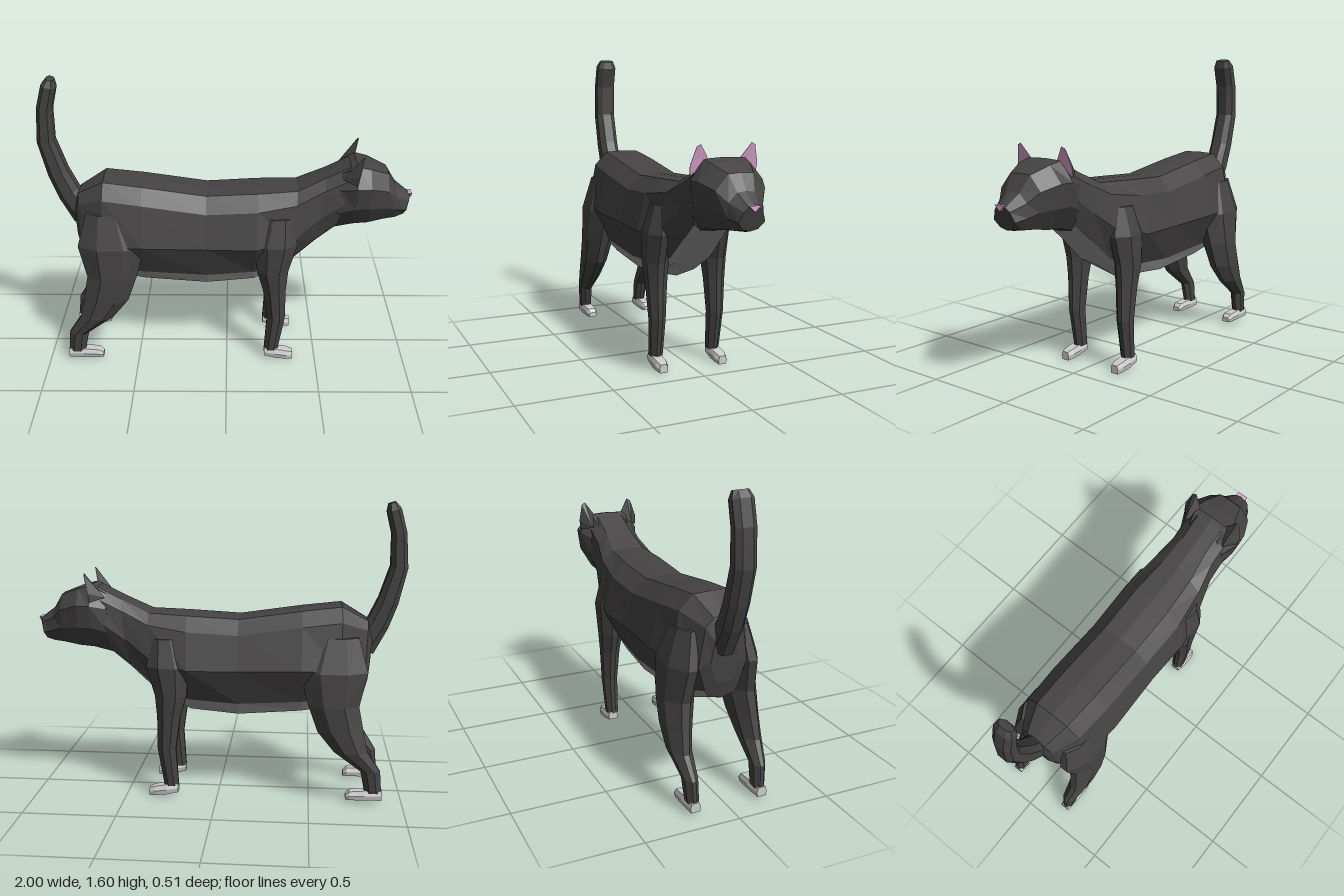
import * as THREE from 'three';

const mat = (color) => new THREE.MeshStandardMaterial({ color, flatShading: true, side: THREE.DoubleSide });
const lerp = THREE.MathUtils.lerp;

// Skin a list of rings; optional closed rings and fan caps at either end
function loft(rings, { closed = true, start = false, end = false } = {}) {
  const n = rings[0].length, pos = rings.flat(2), idx = [];
  for (let i = 0; i < rings.length - 1; i++)
    for (let j = 0; j < (closed ? n : n - 1); j++) {
      const k = (j + 1) % n, a = i * n + j, d = i * n + k, b = a + n, c = d + n;
      idx.push(a, d, c, a, c, b);
    }
  const cap = (ring, flip) => {
    const first = pos.length / 3;
    const mid = [0, 1, 2].map((q) => ring.reduce((s, p) => s + p[q], 0) / n);
    pos.push(...ring.flat(), ...mid);
    for (let j = 0; j < n; j++) {
      const a = first + j, b = first + (j + 1) % n;
      idx.push(first + n, flip ? b : a, flip ? a : b);
    }
  };
  if (start) cap(rings[0], true);
  if (end) cap(rings[rings.length - 1], false);
  const g = new THREE.BufferGeometry();
  g.setAttribute('position', new THREE.Float32BufferAttribute(pos, 3));
  g.setIndex(idx);
  const flat = g.toNonIndexed();
  flat.computeVertexNormals();
  return flat;
}

// Half outline (top to bottom on +z) completed by its mirror image
const mirrorRing = (half) => [...half, ...half.slice(1, -1).reverse().map(([x, y, z]) => [x, y, -z])];

export function createModel() {
  const cat = new THREE.Group();
  cat.name = 'cat';
  const fur = mat(0x454343), pale = mat(0x9c9c9c), paw = mat(0xbcbcbc), pink = mat(0xe0a8d4);
  const add = (name, geometry, material) => {
    const m = new THREE.Mesh(geometry, material);
    m.name = name;
    cat.add(m);
    return m;
  };

  // Torso and neck: xTop, xBottom, yTop, yBottom, then width/height of back edge, flank, belly edge
  const stations = [
    [-0.80, -0.78, 0.98, 0.55, 0.10, 0.93, 0.13, 0.73, 0.09, 0.60],
    [-0.66, -0.66, 1.06, 0.50, 0.17, 0.98, 0.22, 0.73, 0.14, 0.57],
    [-0.45, -0.45, 1.035, 0.46, 0.18, 0.955, 0.235, 0.73, 0.15, 0.545],
    [-0.11, -0.11, 0.985, 0.43, 0.18, 0.905, 0.225, 0.72, 0.15, 0.525],
    [0.17, 0.15, 1.00, 0.455, 0.185, 0.92, 0.235, 0.72, 0.14, 0.54],
    [0.38, 0.33, 1.01, 0.56, 0.16, 0.95, 0.19, 0.76, 0.12, 0.60],
    [0.53, 0.48, 1.08, 0.70, 0.13, 1.02, 0.15, 0.87, 0.11, 0.73],
    [0.66, 0.59, 1.145, 0.79, 0.13, 1.08, 0.15, 0.95, 0.11, 0.82],
  ];
  const torso = stations.map(([xt, xb, yt, yb, we, ye, wm, ym, wl, yl]) => mirrorRing(
    [[yt, 0], [yt - 0.005, we * 0.58], [ye, we], [ym, wm], [yl, wl], [lerp(yb, yl, 0.3), wl * 0.75], [yb, 0]]
      .map(([y, z]) => [lerp(xb, xt, (y - yb) / (yt - yb)), y, z])));
  add('body', loft(torso.map((r) => [...r.slice(8), ...r.slice(0, 5)]), { closed: false }), fur);
  add('belly', loft(torso.map((r) => r.slice(4, 9)), { closed: false }), pale);
  // Rounded rump closing the back
  const rump = torso[0].map(([x, y, z]) => [x - 0.025, lerp(0.77, y, 0.6), z * 0.6]);
  add('rump', loft([rump, torso[0]], { start: true }), fur);

  // Head: xTop, xBottom, yTop, crown half width, cheek y/width, jaw y/width, chin y/width
  const head = [
    [0.61, 0.58, 1.11, 0.09, 1.03, 0.14, 0.90, 0.14, 0.775, 0.07],
    [0.69, 0.68, 1.155, 0.11, 1.05, 0.178, 0.93, 0.16, 0.805, 0.09],
    [0.76, 0.76, 1.14, 0.10, 1.05, 0.172, 0.93, 0.155, 0.812, 0.09],
    [0.86, 0.85, 1.10, 0.065, 1.02, 0.13, 0.92, 0.12, 0.825, 0.07],
    [0.91, 0.91, 1.02, 0.045, 0.97, 0.09, 0.90, 0.095, 0.83, 0.06],
    [0.99, 0.955, 0.96, 0.025, 0.935, 0.05, 0.885, 0.07, 0.84, 0.04],
  ].map(([xt, xb, yt, wt, ys, ws, yj, wj, yb, wb]) => mirrorRing(
    [[yt, 0], [yt - 0.005, wt], [ys, ws], [yj, wj], [yb + 0.01, wb], [yb, 0]]
      .map(([y, z]) => [lerp(xb, xt, (y - yb) / (yt - yb)), y, z])));
  add('head', loft(head, { start: true, end: true }), fur);

  // Nose
  const tri = new THREE.Shape([[-0.03, 0.965], [0, 0.935], [0.03, 0.965]].map((p) => new THREE.Vector2(...p)));
  const nose = new THREE.ExtrudeGeometry(tri, { depth: 0.03, bevelEnabled: false });
  nose.rotateY(Math.PI / 2).translate(0.97, 0, 0);
  add('nose', nose, pink);

  // Tail: centre line with half thickness, eight-sided
  const tailPath = [
    [-0.77, 0.83, 0.075], [-0.855, 0.96, 0.06], [-0.905, 1.08, 0.054], [-0.955, 1.26, 0.046],
    [-0.948, 1.44, 0.04], [-0.917, 1.56, 0.038], [-0.906, 1.597, 0.02],
  ];
  const tail = tailPath.map(([x, y, r], i) => {
    const p = tailPath[Math.max(i - 1, 0)], q = tailPath[Math.min(i + 1, tailPath.length - 1)];
    const len = Math.hypot(q[0] - p[0], q[1] - p[1]);
    const nx = (q[1] - p[1]) / len, ny = -(q[0] - p[0]) / len;
    const w = i === tailPath.length - 1 ? 0.04 : 0.056;
    return [[1, 0.5], [1, -0.5], [0.5, -1], [-0.5, -1], [-1, -0.5], [-1, 0.5], [-0.5, 1], [0.5, 1]]
      .map(([u, v]) => [x + nx * r * u, y + ny * r * u, w * v]);
  });
  add('tail', loft(tail, { start: true, end: true }), fur);

  // Leg sections: y, xBack, xFront, zInner, zOuter
  const foreLeg = [
    [0.06, 0.212, 0.29, 0.135, 0.20], [0.27, 0.225, 0.325, 0.13, 0.21], [0.45, 0.20, 0.325, 0.12, 0.22],
    [0.57, 0.165, 0.335, 0.11, 0.23], [0.73, 0.15, 0.38, 0.10, 0.235], [0.88, 0.20, 0.36, 0.10, 0.195],
  ];
  const hindLeg = [
    [0.06, -0.89, -0.80, 0.155, 0.215], [0.18, -0.88, -0.775, 0.155, 0.225], [0.29, -0.81, -0.63, 0.145, 0.25],
    [0.40, -0.785, -0.54, 0.125, 0.255], [0.54, -0.758, -0.49, 0.10, 0.255],
    [0.72, -0.80, -0.44, 0.08, 0.245], [0.90, -0.75, -0.52, 0.08, 0.19],
  ];
  // Paw sections: x, yBottom, yTop, half width
  const forePaw = [[0.213, 0.025, 0.07, 0.028], [0.28, 0.012, 0.066, 0.036], [0.34, 0.006, 0.055, 0.036], [0.372, 0.0, 0.045, 0.024]];
  const hindPaw = [[-0.893, 0.02, 0.07, 0.028], [-0.80, 0.02, 0.072, 0.034], [-0.72, 0.02, 0.065, 0.034], [-0.698, 0.02, 0.045, 0.024]];

  for (const s of [1, -1]) {
    const side = s > 0 ? 'Near' : 'Far';
    const oriented = (ring) => (s > 0 ? ring : ring.map(([x, y, z]) => [x, y, -z]).reverse());

    const leg = (name, sections) => add(name + side, loft(sections.map(([y, x0, x1, z0, z1]) => {
      const X = (t) => lerp(x0, x1, t), Z = (t) => lerp(z0, z1, t);
      return oriented([[1, 0.65], [1, 0.35], [0.75, 0], [0.25, 0], [0, 0.35], [0, 0.65], [0.3, 1], [0.7, 1]]
        .map(([u, v]) => [X(u), y, Z(v)]));
    }), { start: true, end: true }), fur);
    leg('foreLeg', foreLeg);
    leg('hindLeg', hindLeg);

    const foot = (name, sections, zc) => add(name + side, loft(sections.map(([x, y0, y1, w]) =>
      oriented([[y1, -0.7], [y1, 0.7], [lerp(y0, y1, 0.5), 1], [y0, 0.85], [y0, -0.85], [lerp(y0, y1, 0.5), -1]]
        .map(([y, v]) => [x, y, zc + w * v]))), { start: true, end: true }), paw);
    foot('forePaw', forePaw, 0.172);
    foot('hindPaw', hindPaw, 0.185);

    // Ear: pink front panel with a furry shell tapering to the nape
    const rim = oriented([[0.69, 1.14, 0.08], [0.715, 1.222, 0.135], [0.712, 1.212, 0.155],
      [0.69, 1.12, 0.18], [0.68, 1.07, 0.176]]);
    const nape = oriented(Array(5).fill([0.61, 1.09, 0.125]));
    add('ear' + side, loft([nape, rim]), fur);
    add('innerEar' + side, loft([rim, rim.map(([x, y, z]) => [x + 0.003, y, z])], { end: true }), pink);
  }
  return cat;
}
